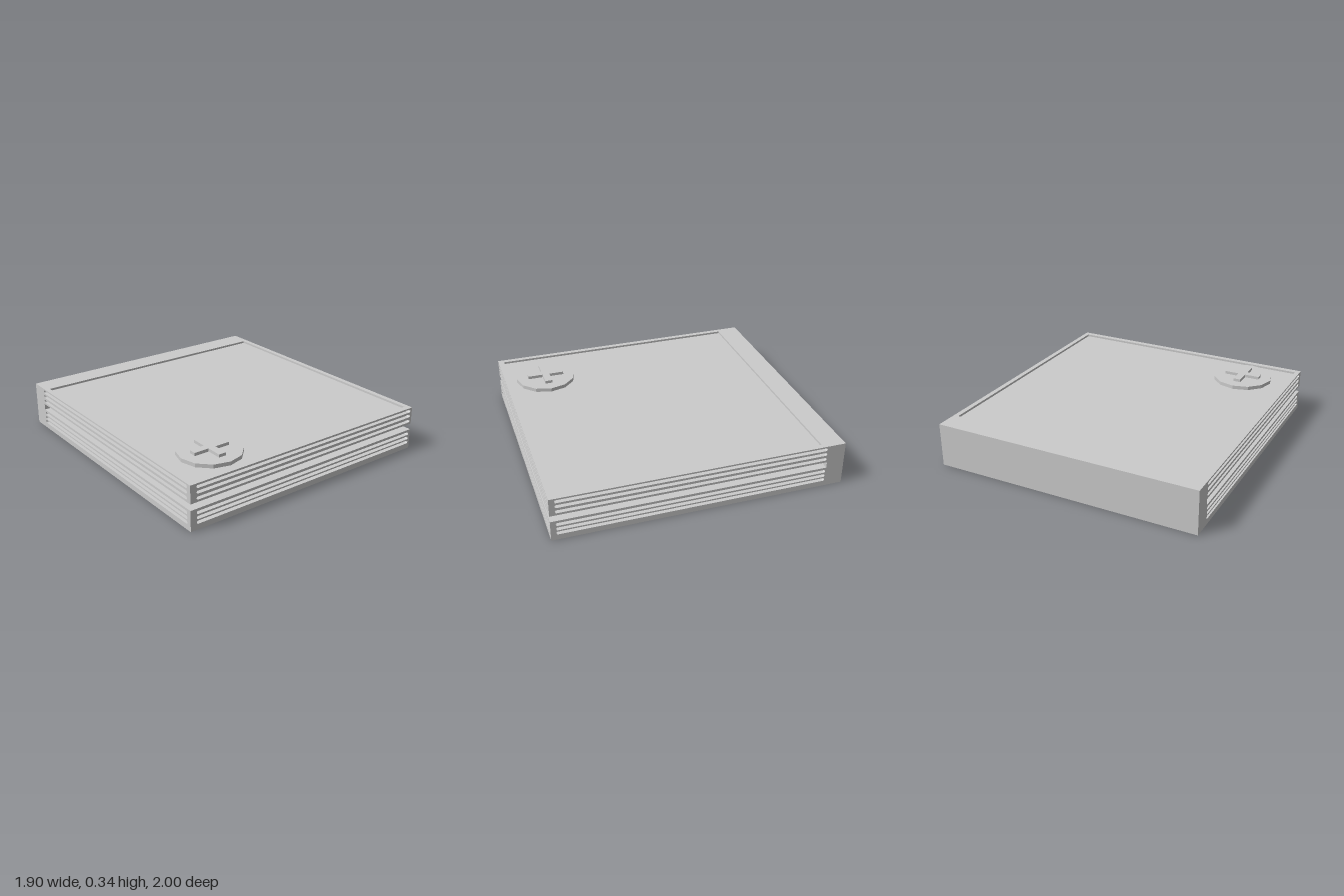
import * as THREE from 'three';

const W = 0.95, D = 0.03;            // half width, groove depth
const SPINE = -0.875, FLOOR = 0.295; // front face of the spine, floor of the top recess

export function createModel() {
  const model = new THREE.Group();
  const grey = new THREE.MeshStandardMaterial({ color: 0xcccccc, flatShading: true });

  const add = (parent, name, geometry) => {
    const mesh = new THREE.Mesh(geometry, grey);
    mesh.name = name;
    parent.add(mesh);
    return mesh;
  };
  // box given by its limits
  const box = (parent, name, x0, x1, y0, y1, z0, z1) => {
    const mesh = add(parent, name, new THREE.BoxGeometry(x1 - x0, y1 - y0, z1 - z0));
    mesh.position.set((x0 + x1) / 2, (y0 + y1) / 2, (z0 + z1) / 2);
    return mesh;
  };
  const rect = (Type, x0, x1, y0, y1) => new Type([
    new THREE.Vector2(x0, y0), new THREE.Vector2(x1, y0),
    new THREE.Vector2(x1, y1), new THREE.Vector2(x0, y1)]);
  const extrude = (shape, depth) =>
    new THREE.ExtrudeGeometry(shape, { depth, bevelEnabled: false, curveSegments: 6 });

  // wall slab pierced by round-ended horizontal slots
  const slotted = (a0, a1, y0, y1, s0, s1, rows) => {
    const r = 0.011, shape = rect(THREE.Shape, a0, a1, y0, y1);
    for (const y of rows) {
      const slot = new THREE.Path();
      slot.absarc(s1 - r, y, r, -Math.PI / 2, Math.PI / 2, false);
      slot.absarc(s0 + r, y, r, Math.PI / 2, Math.PI * 1.5, false);
      slot.closePath();
      shape.holes.push(slot);
    }
    return extrude(shape, D);
  };

  // two plates, grooved on the front and both sides
  const plates = [
    { name: 'lowerPlate', y0: 0, y1: 0.143, coreTop: 0.143, rows: [0.049, 0.081, 0.115] },
    { name: 'upperPlate', y0: 0.186, y1: 0.31, coreTop: FLOOR, rows: [0.212, 0.251, 0.288] },
  ];
  for (const { name, y0, y1, coreTop, rows } of plates) {
    const plate = new THREE.Group();
    plate.name = name;
    model.add(plate);
    box(plate, 'plateCore', -W + D, W - D, y0, coreTop, SPINE, 1 - D);
    add(plate, 'frontGrooves', slotted(-W, W, y0, y1, -0.905, 0.935, rows)).position.z = 1 - D;
    for (const [side, x] of [['leftGrooves', W], ['rightGrooves', -W + D]]) {
      const wall = add(plate, side, slotted(SPINE, 1 - D, y0, y1, -0.87, 0.966, rows));
      wall.rotation.y = -Math.PI / 2;
      wall.position.x = x;
    }
  }

  // solid spine joining the plates at the back
  box(model, 'spine', -W, W, 0, 0.31, -1, SPINE);

  // raised rim around the sunken top panel
  const rim = rect(THREE.Shape, -W + D, W - D, -(1 - D), -SPINE);
  rim.holes.push(rect(THREE.Path, -0.915, 0.915, -0.96, 0.84));
  const rimMesh = add(model, 'topRim', extrude(rim, 0.31 - FLOOR));
  rimMesh.rotation.x = -Math.PI / 2;
  rimMesh.position.y = FLOOR;

  // twelve-sided disc with a raised cross
  const emblem = new THREE.Group();
  emblem.name = 'crossDisc';
  emblem.position.set(-0.588, FLOOR, 0.698);
  model.add(emblem);
  add(emblem, 'disc', new THREE.CylinderGeometry(0.217, 0.217, 0.026, 12)).position.y = 0.013;
  const a = 0.132, b = 0.026;
  const cross = new THREE.Shape([
    [b, -a], [b, -b], [a, -b], [a, b], [b, b], [b, a],
    [-b, a], [-b, b], [-a, b], [-a, -b], [-b, -b], [-b, -a],
  ].map(([x, y]) => new THREE.Vector2(x, y)));
  const crossMesh = add(emblem, 'cross', extrude(cross, 0.022));
  crossMesh.rotation.x = -Math.PI / 2;
  crossMesh.position.y = 0.025;

  return model;
}
